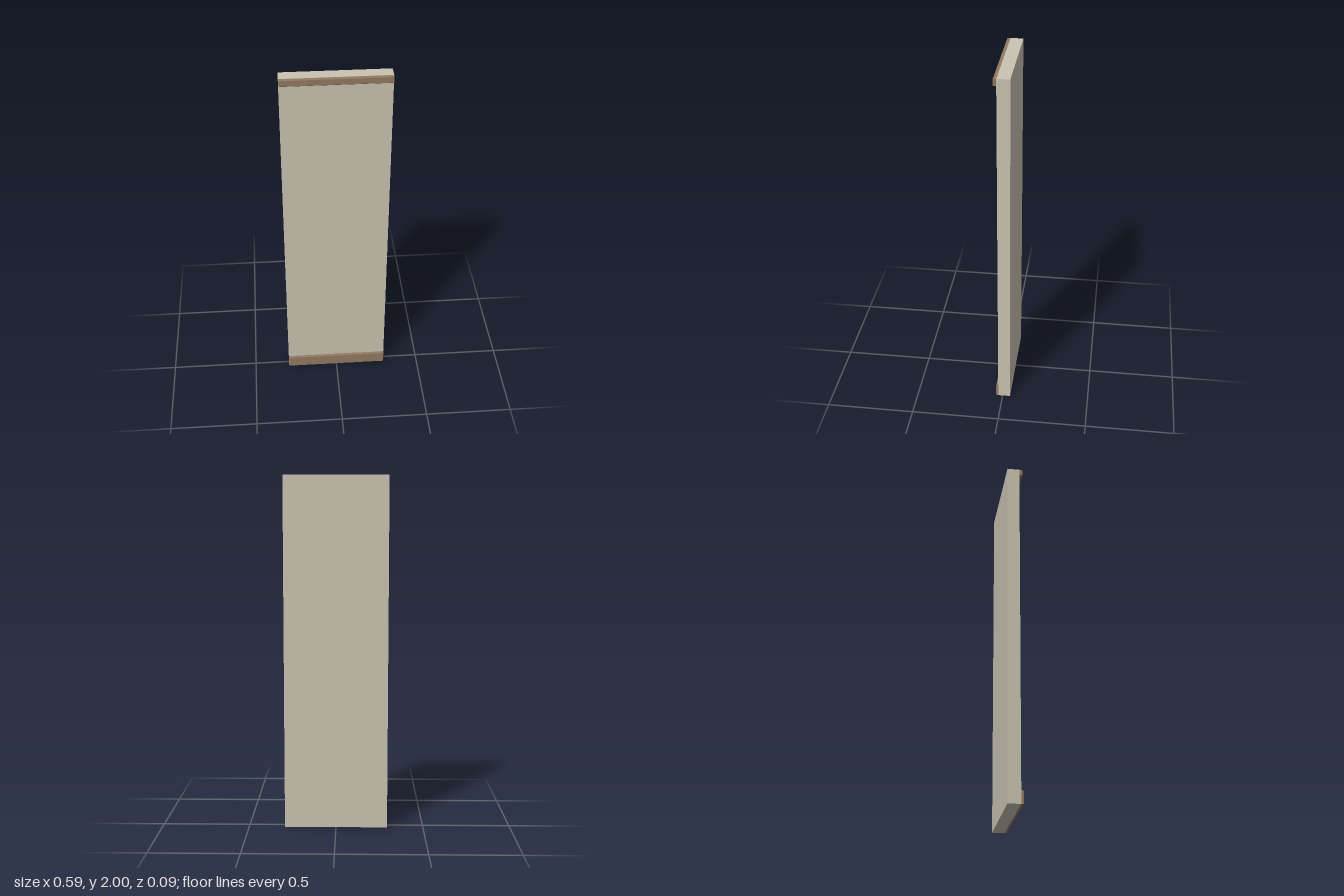
import * as THREE from 'three';

const WALL_WIDTH = 0.588, TRIM_WIDTH = 0.586;
const BACK = -0.044, FACE = 0.026;

// Extrudes a moulding profile of [z, y] points along x, centred on x = 0
function moulding(name, profile, material) {
  const shape = new THREE.Shape(profile.map(([z, y]) => new THREE.Vector2(z, y)));
  const geometry = new THREE.ExtrudeGeometry(shape, { depth: TRIM_WIDTH, bevelEnabled: false });
  geometry.rotateY(-Math.PI / 2);
  geometry.translate(TRIM_WIDTH / 2, 0, 0);
  const mesh = new THREE.Mesh(geometry, material);
  mesh.name = name;
  return mesh;
}

export function createModel() {
  const plaster = new THREE.MeshStandardMaterial({ color: 0xc9c3b2 });
  plaster.name = 'plaster';
  const wood = new THREE.MeshStandardMaterial({ color: 0x937961 });
  wood.name = 'wood';

  const group = new THREE.Group();
  group.name = 'wallPanel';

  // Main wall slab
  const wall = new THREE.Mesh(new THREE.BoxGeometry(WALL_WIDTH, 2, FACE - BACK), plaster);
  wall.name = 'wall';
  wall.position.set(0, 1, (FACE + BACK) / 2);
  group.add(wall);

  // Skirting board with an eased top edge
  group.add(moulding('baseboard', [
    [FACE, 0.001], [0.039, 0.001], [0.039, 0.067], [0.036, 0.071], [FACE, 0.071],
  ], wood));

  // Ceiling trim with eased front edges
  group.add(moulding('ceilingTrim', [
    [FACE, 1.963], [0.041, 1.963], [0.044, 1.966], [0.044, 1.997], [0.042, 1.999], [FACE, 1.999],
  ], wood));

  return group;
}
